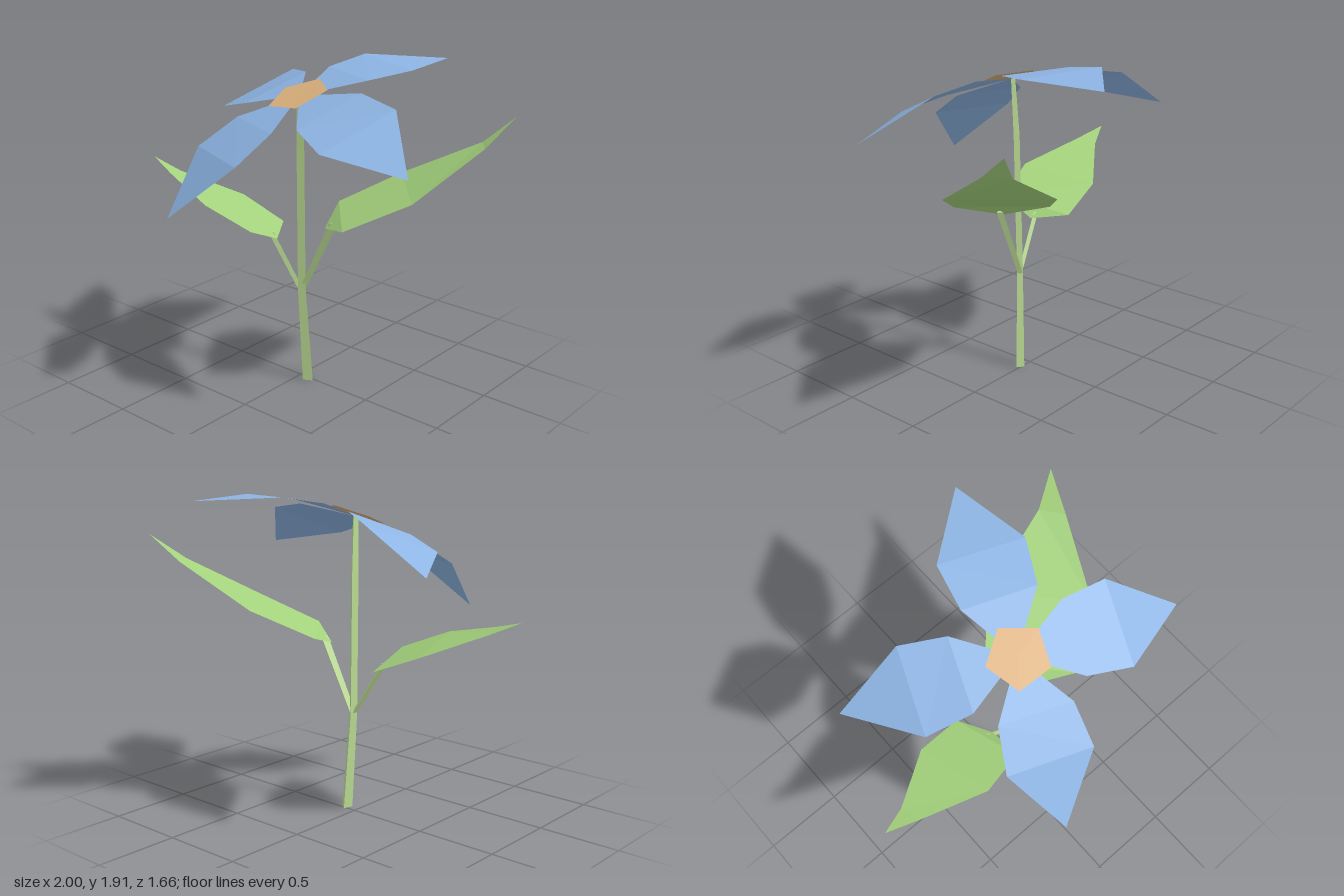
import * as THREE from 'three';

const mat = (name, color) => {
  const m = new THREE.MeshStandardMaterial({ color, flatShading: true, side: THREE.DoubleSide });
  m.name = name;
  return m;
};

// Flat-shaded surface through rows of points; neighbouring rows may have 1 or more points
function loft(rows, closed = false) {
  const pos = [];
  const tri = (a, b, c) => pos.push(...a, ...b, ...c);
  for (let r = 0; r + 1 < rows.length; r++) {
    const a = rows[r], b = rows[r + 1];
    const n = Math.max(a.length, b.length);
    for (let i = 0; i < (closed ? n : n - 1); i++) {
      const j = (i + 1) % n;
      if (a.length === 1) tri(a[0], b[j], b[i]);
      else if (b.length === 1) tri(a[i], a[j], b[0]);
      else {
        tri(a[i], a[j], b[j]);
        tri(a[i], b[j], b[i]);
      }
    }
  }
  const g = new THREE.BufferGeometry();
  g.setAttribute('position', new THREE.Float32BufferAttribute(pos, 3));
  g.computeVertexNormals();
  return g;
}

// Three-sided stalk through [x, y, z, size] stations, capped at both ends
function stalk(stations) {
  const section = [[-0.026, 0.03], [0.028, 0], [-0.01, -0.03]];
  const rows = stations.map(([x, y, z, s]) => section.map(([dx, dz]) => [x + dx * s, y, z + dz * s]));
  const ends = [stations[0], stations[stations.length - 1]].map(([x, y, z]) => [[x, y, z]]);
  return loft([ends[0], ...rows, ends[1]], true);
}

export function createModel() {
  const model = new THREE.Group();
  model.name = 'flower';
  const petalBlue = mat('petal blue', 0x8db4e3);
  const leafGreen = mat('leaf green', 0xa4d27c);
  const stemGreen = mat('stem green', 0xbcdc94);
  const centreTan = mat('centre tan', 0xdab07c);
  const add = (name, geometry, material) => {
    const mesh = new THREE.Mesh(geometry, material);
    mesh.name = name;
    model.add(mesh);
  };

  // Petals: base point, two widening pairs, tip
  const base = [0.06, 1.77, 0.08];
  const petals = {
    frontPetal: [
      [[-0.235, 1.64, 0.27], [0.155, 1.635, 0.425]],
      [[-0.35, 1.49, 0.47], [0.105, 1.49, 0.65]],
      [[-0.235, 1.18, 0.83]]],
    rightPetal: [
      [[-0.15, 1.83, -0.22], [-0.295, 1.685, 0.145]],
      [[-0.375, 1.795, -0.365], [-0.55, 1.615, 0.06]],
      [[-0.795, 1.545, -0.36]]],
    leftPetal: [
      [[0.29, 1.67, 0.375], [0.435, 1.825, 0.01]],
      [[0.535, 1.605, 0.485], [0.7, 1.785, 0.06]],
      [[0.995, 1.53, 0.355]]],
    backPetal: [
      [[0.38, 1.865, -0.12], [-0.015, 1.87, -0.27]],
      [[0.505, 1.9, -0.355], [0.045, 1.915, -0.53]],
      [[0.43, 1.893, -0.83]]],
  };
  for (const [name, rows] of Object.entries(petals)) add(name, loft([[base], ...rows]), petalBlue);

  // Flower centre: tilted pentagon
  const rim = [[0.07, 1.84, -0.08], [-0.103, 1.78, 0.02], [-0.045, 1.72, 0.22], [0.163, 1.74, 0.235], [0.235, 1.82, 0.05]];
  add('flowerCentre', loft([[[0.064, 1.78, 0.089]], rim], true), centreTan);

  // Leaves: base point, three pairs, tip
  add('leftLeaf', loft([
    [[0.205, 1.01, 0.03]],
    [[0.45, 1.085, 0.18], [0.1, 1.087, -0.23]],
    [[0.757, 1.255, -0.033], [0.36, 1.255, -0.49]],
    [[0.927, 1.503, -0.465], [0.835, 1.503, -0.595]],
    [[0.995, 1.66, -0.68]],
  ]), leafGreen);
  add('rightLeaf', loft([
    [[-0.11, 0.888, 0.086]],
    [[-0.12, 0.985, 0.3], [-0.23, 0.92, -0.107]],
    [[-0.405, 1.105, 0.38], [-0.52, 1.037, -0.07]],
    [[-0.8, 1.2, 0.28], [-0.84, 1.18, 0.157]],
    [[-1, 1.257, 0.225]],
  ]), leafGreen);

  // Stem and the two leaf stalks that fork from it
  add('stem', stalk([[0.081, 0, 0.015, 1], [0.051, 0.6, 0.04, 0.75], [0.055, 1.45, 0.058, 0.72], [0.061, 1.77, 0.075, 0.5]]), stemGreen);
  add('leftLeafStalk', stalk([[0.052, 0.6, 0.035, 0.6], [0.258, 1.045, 0.01, 0.75]]), stemGreen);
  add('rightLeafStalk', stalk([[0.042, 0.6, 0.045, 0.5], [-0.153, 0.922, 0.085, 0.55]]), stemGreen);

  return model;
}
